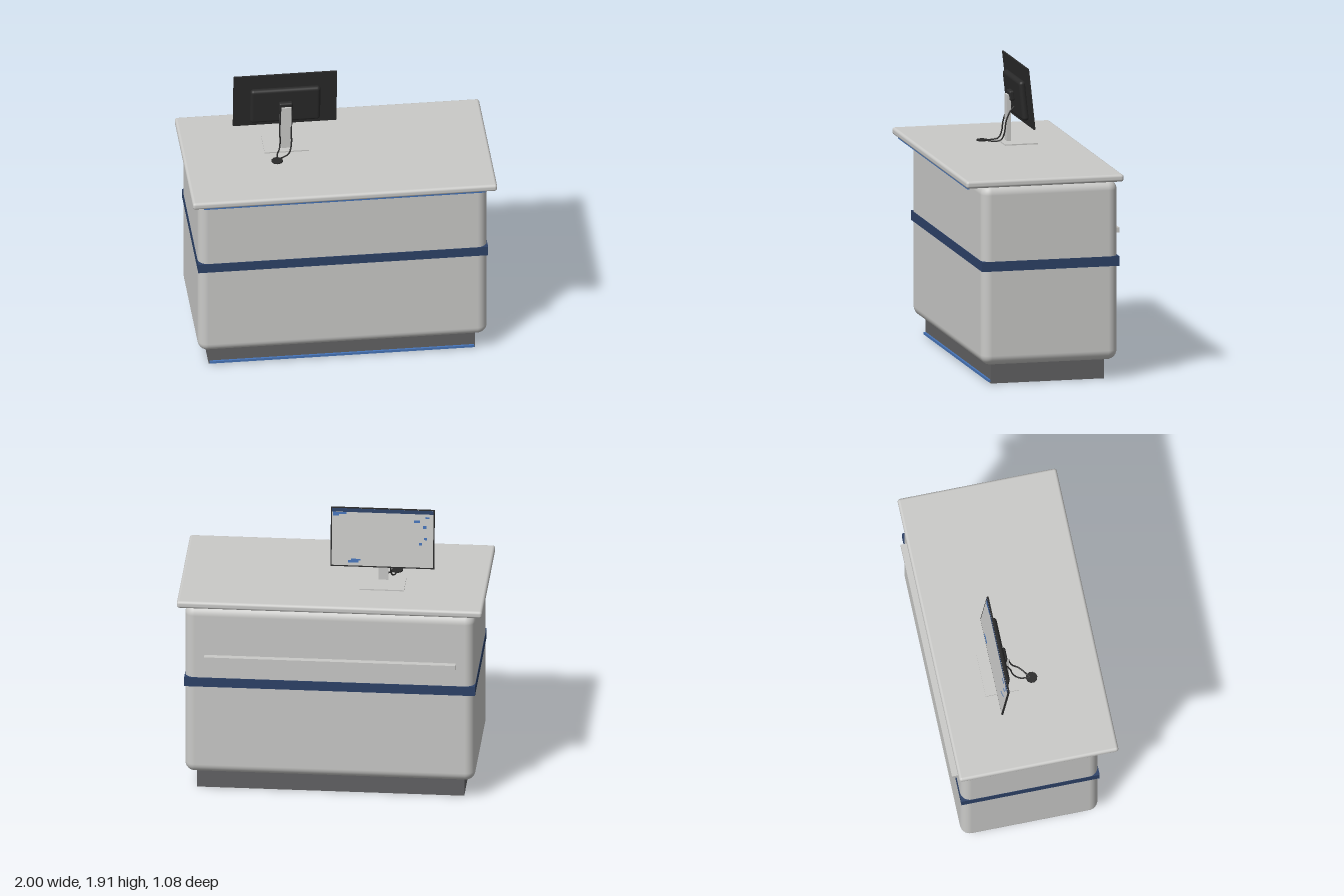
import * as THREE from 'three';
import { RoundedBoxGeometry } from 'three/addons/geometries/RoundedBoxGeometry.js';

const paint = (name, color) => {
  const m = new THREE.MeshStandardMaterial({ color });
  m.name = name;
  return m;
};

export function createModel() {
  const lightGrey = paint('light grey', 0xcacac8);
  const plinthGrey = paint('plinth grey', 0x626264);
  const navy = paint('navy', 0x2d4268);
  const black = paint('black', 0x2a2a2a);
  const blue = paint('light blue', 0x4674b8);

  const desk = new THREE.Group();
  desk.name = 'receptionDesk';

  const add = (parent, name, geometry, material, x = 0, y = 0, z = 0) => {
    const mesh = new THREE.Mesh(geometry, material);
    mesh.name = name;
    mesh.position.set(x, y, z);
    parent.add(mesh);
    return mesh;
  };
  // Box given by its limits on each axis; a radius rounds the edges
  const block = (parent, name, material, [x0, x1], [y0, y1], [z0, z1], radius = 0) => {
    const size = [x1 - x0, y1 - y0, z1 - z0];
    const geometry = radius
      ? new RoundedBoxGeometry(...size, 5, radius)
      : new THREE.BoxGeometry(...size);
    return add(parent, name, geometry, material, (x0 + x1) / 2, (y0 + y1) / 2, (z0 + z1) / 2);
  };

  // Counter
  block(desk, 'plinth', plinthGrey, [-0.875, 0.875], [0, 0.13], [-0.42, 0.34]);
  block(desk, 'cabinet', lightGrey, [-0.95, 0.95], [0.13, 1.325], [-0.5, 0.415], 0.065);
  block(desk, 'bandStripe', navy, [-0.952, 0.952], [0.757, 0.822], [-0.504, 0.418]);
  block(desk, 'countertop', lightGrey, [-1, 1], [1.322, 1.37], [-0.525, 0.535], 0.018);
  block(desk, 'rearRail', lightGrey, [-0.825, 0.82], [0.953, 0.985], [-0.54, -0.498]);

  // Light strips under the countertop and at the foot of the plinth
  block(desk, 'upperLightStrip', blue, [-0.925, 0.925], [1.306, 1.324], [0.497, 0.512]);
  block(desk, 'lowerLightStrip', blue, [-0.868, 0.868], [0.008, 0.024], [0.338, 0.354]);

  // Monitor stand
  block(desk, 'standBase', lightGrey, [-0.465, -0.175], [1.37, 1.378], [-0.24, -0.02]);
  block(desk, 'standPost', lightGrey, [-0.35, -0.285], [1.376, 1.685], [-0.086, -0.061]);

  // Monitor: local +z is its back, the screen faces -z
  const monitor = new THREE.Group();
  monitor.name = 'monitor';
  monitor.position.set(-0.318, 1.707, -0.148);
  monitor.rotation.x = 0.108;
  desk.add(monitor);
  const W = 0.68, H = 0.406;
  block(monitor, 'screenFrame', black, [-W / 2, W / 2], [-H / 2, H / 2], [-0.005, 0.006]);
  block(monitor, 'backHousing', black, [-0.23, 0.23], [-0.162, 0.104], [0.0, 0.046], 0.022);
  block(monitor, 'standHub', black, [-0.045, 0.045], [-0.055, 0.012], [0.04, 0.076], 0.012);

  // Screen picture: u runs from the viewer's left, v from the bottom
  const plate = (name, material, u0, u1, v0, v1, lift) =>
    block(monitor, name, material,
      [(0.5 - u1) * W, (0.5 - u0) * W], [(v0 - 0.5) * H, (v1 - 0.5) * H], [-0.005 - lift, -0.004]);
  plate('screen', lightGrey, 0.012, 0.988, 0.02, 0.985, 0.001);
  plate('screenTopBar', navy, 0.012, 0.988, 0.925, 0.985, 0.002);
  [
    [0.02, 0.15, 0.885, 0.92], [0.02, 0.08, 0.855, 0.885],
    [0.80, 0.86, 0.78, 0.82], [0.89, 0.92, 0.68, 0.73],
    [0.91, 0.95, 0.85, 0.88], [0.90, 0.93, 0.49, 0.53],
    [0.85, 0.88, 0.40, 0.44], [0.17, 0.27, 0.07, 0.11],
    [0.20, 0.29, 0.11, 0.135],
  ].forEach(r => plate('screenIcon', blue, ...r, 0.002));

  // Two cables drop from the monitor to a small puck on the counter
  add(desk, 'cablePuck', new THREE.CylinderGeometry(0.038, 0.038, 0.008, 10), black, -0.395, 1.374, 0.08);
  for (const [top, mid] of [[-0.358, -0.362], [-0.282, -0.287]]) {
    const path = new THREE.CatmullRomCurve3([
      [top, 1.61, -0.11], [top, 1.575, -0.08], [mid, 1.51, -0.055],
      [mid, 1.43, -0.042], [mid - 0.008, 1.39, -0.025], [mid - 0.025, 1.376, 0.01],
      [-0.39, 1.375, 0.07],
    ].map(p => new THREE.Vector3(...p)));
    add(desk, 'cable', new THREE.TubeGeometry(path, 40, 0.005, 8), black);
  }

  return desk;
}
